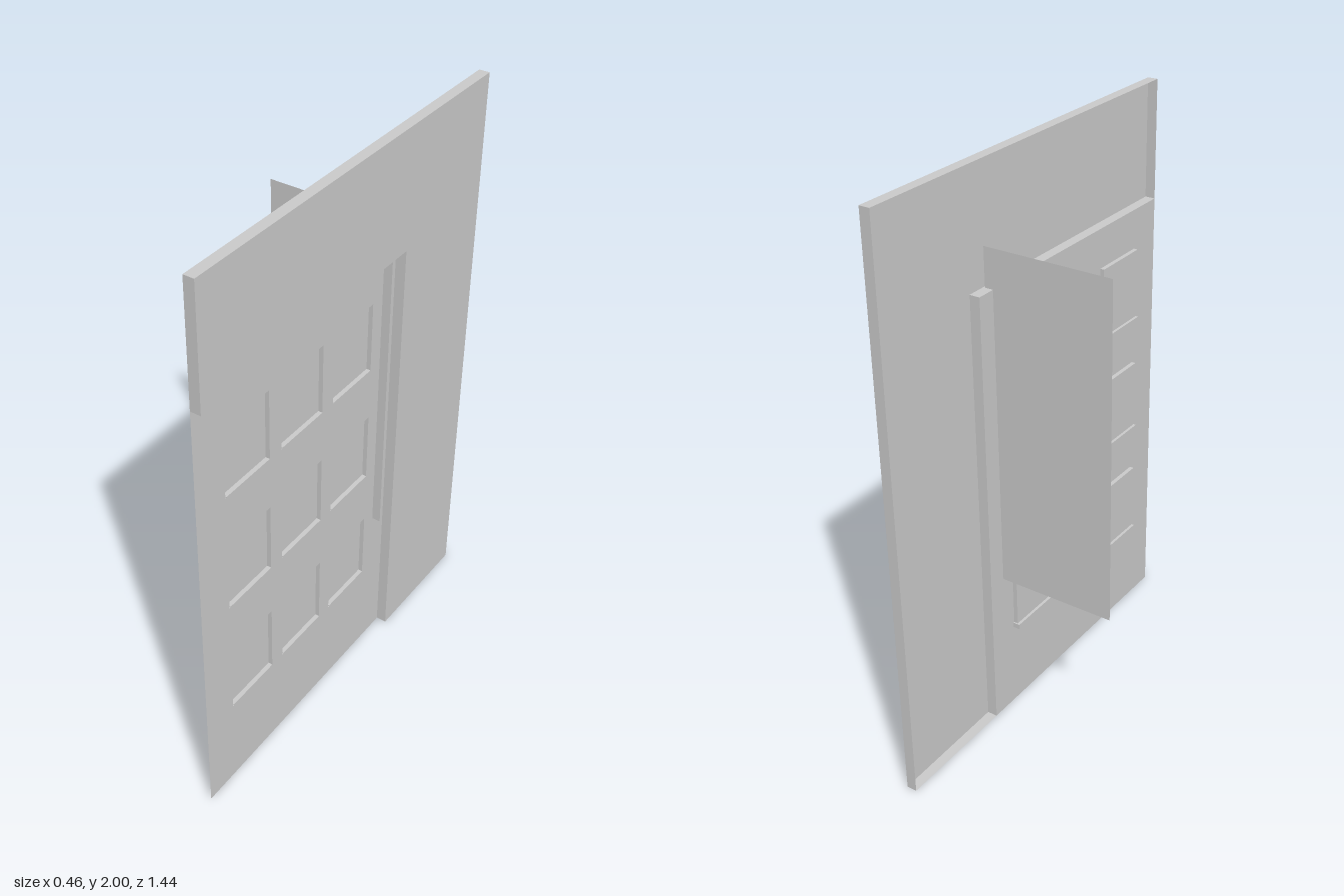
import * as THREE from 'three';

const material = new THREE.MeshStandardMaterial({ color: 0xcccccc, side: THREE.DoubleSide, flatShading: true });

// Everything is drawn in the wall plane (u = z, v = y); local depth d = -x
const WALL = -0.228, DOOR = -0.192, PANE = -0.177, SILL = -0.167;
const END = 0.722, JAMB = -0.28, HEAD = 1.587;

const rect = (u0, v0, u1, v1) => [[u0, v0], [u1, v0], [u1, v1], [u0, v1]];
const toVectors = (points) => points.map(([u, v]) => new THREE.Vector2(u, v));

function add(parent, name, geometry) {
  const mesh = new THREE.Mesh(geometry, material);
  mesh.name = name;
  parent.add(mesh);
  return mesh;
}

// Flat sheet at one depth, with optional holes
function sheet(parent, name, points, depth, holes = []) {
  const shape = new THREE.Shape(toVectors(points));
  holes.forEach((hole) => shape.holes.push(new THREE.Path(toVectors(hole))));
  add(parent, name, new THREE.ShapeGeometry(shape)).position.z = depth;
}

// Open ribbon that follows an outline between two depths
function rim(parent, name, points, d0, d1) {
  const positions = [];
  points.forEach(([u0, v0], i) => {
    const [u1, v1] = points[(i + 1) % points.length];
    positions.push(u0, v0, d0, u1, v1, d0, u1, v1, d1, u0, v0, d0, u1, v1, d1, u0, v0, d1);
  });
  const geometry = new THREE.BufferGeometry();
  geometry.setAttribute('position', new THREE.Float32BufferAttribute(positions, 3));
  geometry.computeVertexNormals();
  add(parent, name, geometry);
}

export function createModel() {
  const model = new THREE.Group();
  model.name = 'doorWall';
  const wall = new THREE.Group();
  wall.name = 'wall';
  wall.rotation.y = -Math.PI / 2;
  model.add(wall);

  // Surround: lintel and side column as one hollow shell, open at the back
  const outline = [[-END, 0], [JAMB, 0], [JAMB, HEAD], [END, HEAD], [END, 2], [-END, 2]];
  sheet(wall, 'surroundFace', outline, WALL);
  rim(wall, 'surroundRim', outline, WALL, DOOR);

  // Nine window pockets with sills on the back
  const windows = [];
  for (const v of [0.328, 0.764, 1.197]) {
    for (const u of [-0.16, 0.108, 0.378]) {
      const opening = rect(u, v, u + 0.212, v + 0.25);
      windows.push(opening);
      const pocket = new THREE.Group();
      pocket.name = 'window';
      wall.add(pocket);
      sheet(pocket, 'windowPane', opening, PANE);
      rim(pocket, 'windowReveal', opening, DOOR, PANE);
      const sill = add(pocket, 'windowSill', new THREE.BoxGeometry(0.212, 0.018, SILL - DOOR));
      sill.position.set(u + 0.101, v - 0.006, (SILL + DOOR) / 2);
    }
  }

  // Recessed door sheet, cut out for the windows
  sheet(wall, 'doorPanel', rect(JAMB, 0, END, HEAD), DOOR, windows);

  // Thin upright fin standing through the door beside the column
  const fin = add(model, 'fin', new THREE.PlaneGeometry(0.45, 1.177));
  fin.position.set(-0.003, 1.131, -0.213);

  return model;
}
